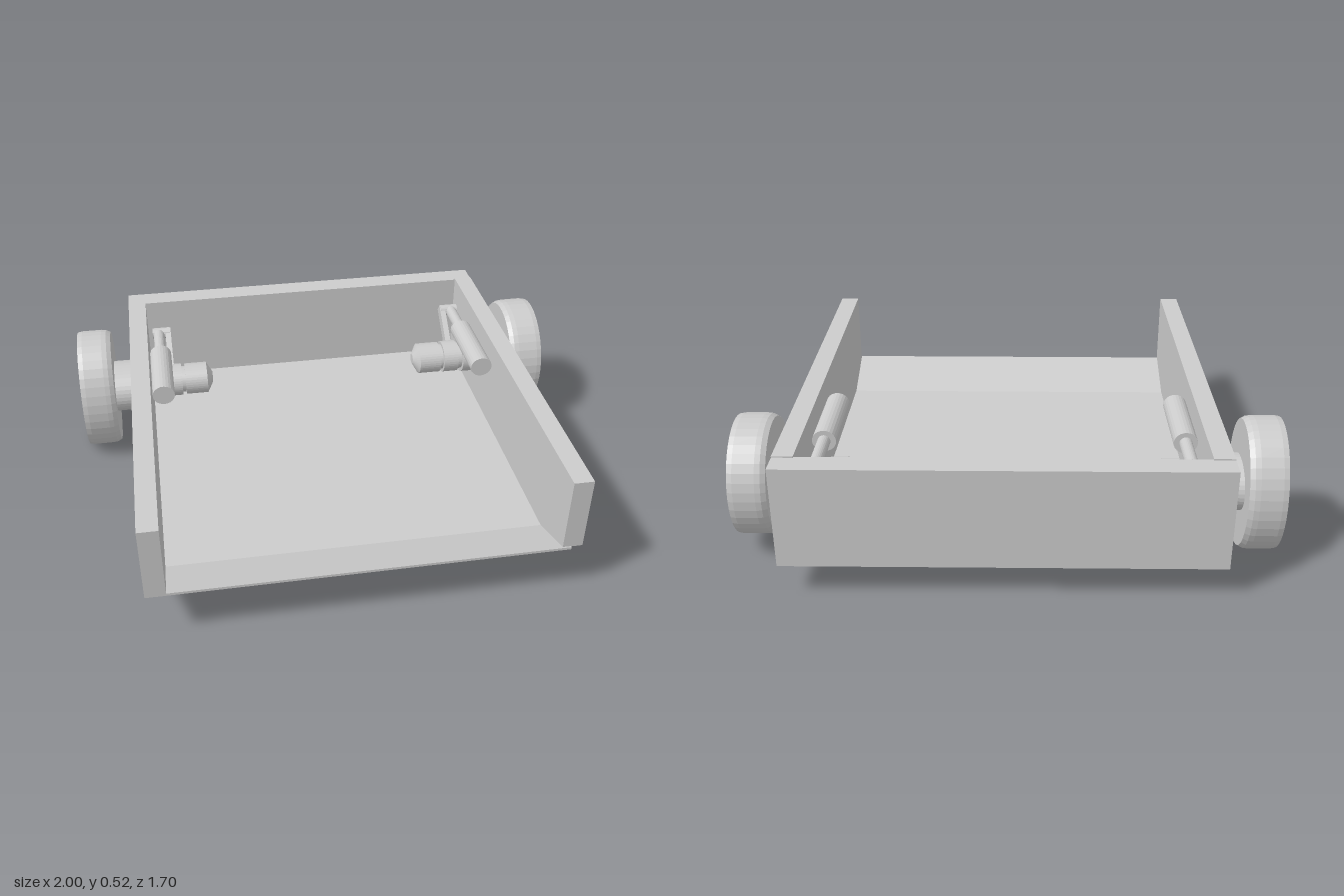
import * as THREE from 'three';

const material = new THREE.MeshStandardMaterial({ color: 0xcccccc, flatShading: true });

function part(name, geometry, parent) {
  const mesh = new THREE.Mesh(geometry, material);
  mesh.name = name;
  parent.add(mesh);
  return mesh;
}

function box(name, parent, x0, x1, y0, y1, z0, z1) {
  const mesh = part(name, new THREE.BoxGeometry(x1 - x0, y1 - y0, z1 - z0), parent);
  mesh.position.set((x0 + x1) / 2, (y0 + y1) / 2, (z0 + z1) / 2);
  return mesh;
}

// Extrudes a side profile of [z, y] points from x0 to x1
function sidePlate(name, parent, profile, x0, x1) {
  const shape = new THREE.Shape(profile.map(([z, y]) => new THREE.Vector2(-z, y)));
  const geometry = new THREE.ExtrudeGeometry(shape, { depth: x1 - x0, bevelEnabled: false });
  geometry.rotateY(Math.PI / 2).translate(x0, 0, 0);
  return part(name, geometry, parent);
}

// Turns a profile of [radius ratio, distance from centre] about the x axis
function turned(name, parent, side, profile, y, z, ry, rz) {
  const points = profile.map(([r, x]) => new THREE.Vector2(r, x));
  const mesh = part(name, new THREE.LatheGeometry(points, 40), parent);
  mesh.rotation.z = -side * Math.PI / 2;
  mesh.position.set(0, y, z);
  mesh.scale.set(ry, 1, rz);
  return mesh;
}

// Cylinder lying along z
function rodZ(name, parent, x, y, z0, z1, rx, ry) {
  const geometry = new THREE.CylinderGeometry(1, 1, z1 - z0, 24).rotateX(Math.PI / 2);
  const mesh = part(name, geometry, parent);
  mesh.position.set(x, y, (z0 + z1) / 2);
  mesh.scale.set(rx, ry, 1);
  return mesh;
}

export function createModel() {
  const model = new THREE.Group();
  model.name = 'wheeledTray';

  // Tray: floor with rising front lip, two side walls, back wall
  const floorProfile = [[-0.77, 0.122], [0.6, 0.122], [0.83, 0.205], [0.83, 0.215], [0.6, 0.134], [-0.77, 0.134]];
  sidePlate('floor', model, floorProfile, -0.74, 0.76);
  const wallProfile = (front) => [[-0.765, 0.125], [0.6, 0.125], [front - 0.01, 0.21], [front, 0.51], [-0.765, 0.51]];
  sidePlate('rightWall', model, wallProfile(0.845), -0.78, -0.705);
  sidePlate('leftWall', model, wallProfile(0.83), 0.73, 0.805);
  box('backWall', model, -0.78, 0.805, 0.12, 0.505, -0.85, -0.758);

  // Drive on each side: wheel, axle, motor and lifting actuator
  const drives = [
    { name: 'rightDrive', side: -1, wall: 0.705, wheelY: 0.26, wheelZ: -0.477, ry: 0.26, rz: 0.213 },
    { name: 'leftDrive', side: 1, wall: 0.73, wheelY: 0.281, wheelZ: -0.467, ry: 0.229, rz: 0.221 },
  ];
  for (const { name, side, wall, wheelY, wheelZ, ry, rz } of drives) {
    const drive = new THREE.Group();
    drive.name = name;
    model.add(drive);

    turned('wheel', drive, side, [
      [0, 0.862], [0.95, 0.862], [0.99, 0.88], [1, 0.9], [1, 0.98], [0.985, 1],
      [0.8, 1], [0.65, 0.95], [0, 0.95],
    ], wheelY, wheelZ, ry, rz);

    turned('axle', drive, side, [[0, wall], [1, wall], [1, 0.87], [0, 0.87]], 0.263, -0.473, 0.1, 0.13);

    // Motor: tapered tip, body, narrow groove, gearbox and mounting flange
    const tip = wall - 0.265;
    turned('motor', drive, side, [
      [0, tip], [0.3, tip], [0.9, tip + 0.025], [0.9, tip + 0.12], [0.75, tip + 0.12], [0.75, tip + 0.135],
      [0.93, tip + 0.135], [0.93, tip + 0.2], [0.8, tip + 0.2], [0.8, tip + 0.22],
      [1, tip + 0.22], [1, wall + 0.01],
    ], 0.273, -0.466, 0.072, 0.082);

    // Actuator: barrel, piston rod and end knuckle
    const x = side * (wall - 0.048);
    rodZ('actuatorBarrel', drive, x, 0.413, -0.46, -0.125, 0.045, 0.042);
    rodZ('actuatorRod', drive, x, 0.413, -0.63, -0.46, 0.024, 0.024);
    const pin = part('actuatorKnuckle', new THREE.CylinderGeometry(0.024, 0.024, 0.075, 20), drive);
    pin.rotation.z = Math.PI / 2;
    pin.position.set(x - side * 0.01, 0.413, -0.642);

    // Crank arm from the knuckle down to the motor
    const top = new THREE.Vector2(-0.642, 0.413);
    const bottom = new THREE.Vector2(-0.48, 0.28);
    const run = bottom.clone().sub(top);
    const arm = part('crankArm', new THREE.BoxGeometry(0.024, 0.042, run.length() + 0.03), drive);
    arm.position.set(x - side * 0.04, (top.y + bottom.y) / 2, (top.x + bottom.x) / 2);
    arm.rotation.x = -Math.atan2(run.y, run.x);
  }
  return model;
}
